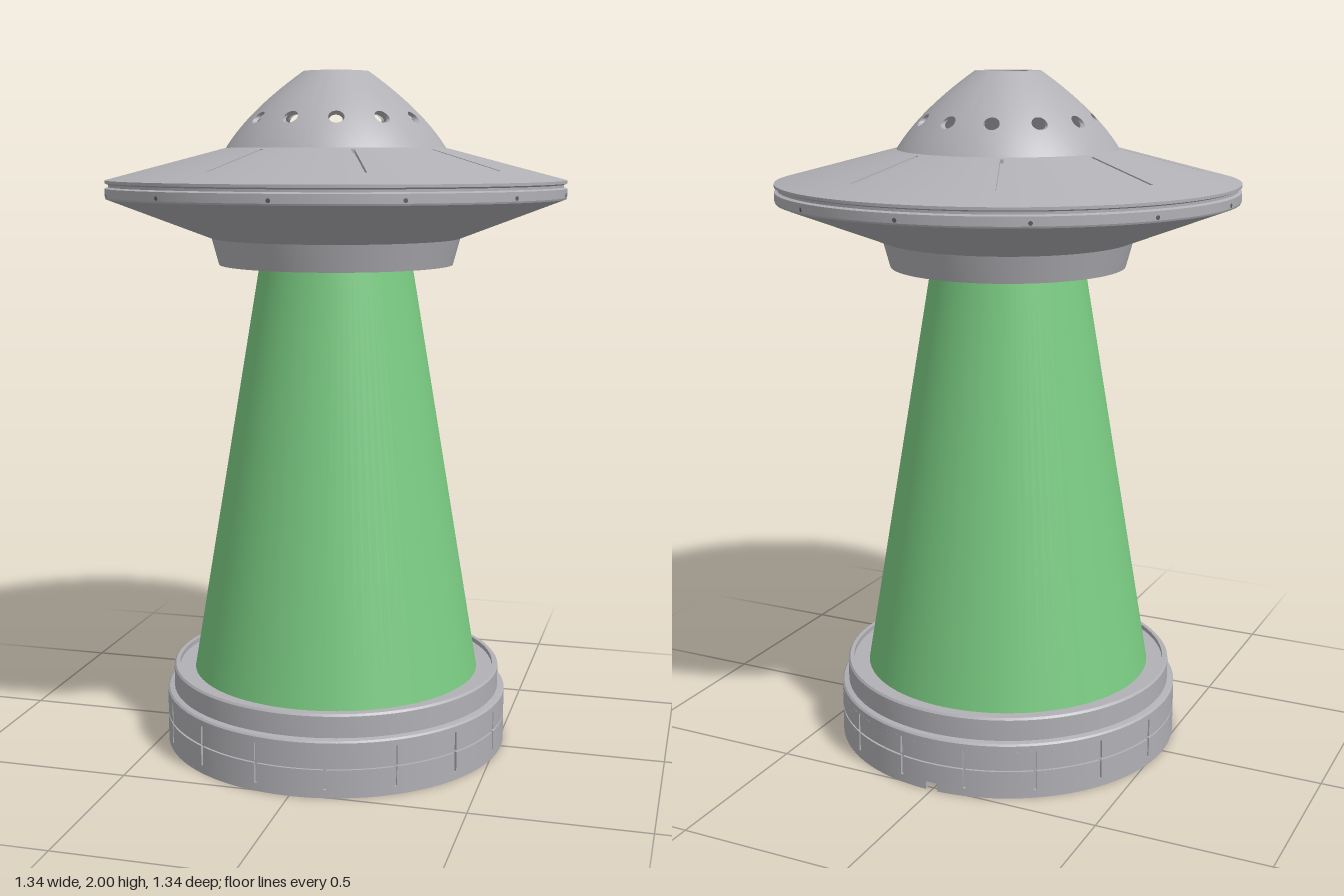
import * as THREE from 'three';
import { toCreasedNormals } from 'three/addons/utils/BufferGeometryUtils.js';

const TAU = Math.PI * 2;
const metal = new THREE.MeshStandardMaterial({ color: 0xb0b0b5, side: THREE.DoubleSide });
metal.name = 'grey metal';
const green = new THREE.MeshStandardMaterial({ color: 0x7acb82 });
green.name = 'beam green';
const dark = new THREE.MeshStandardMaterial({ color: 0x5c5c61 });
dark.name = 'dark metal';

function part(parent, name, geometry, material) {
  const mesh = new THREE.Mesh(geometry, material);
  mesh.name = name;
  parent.add(mesh);
  return mesh;
}

// Turned solid with crisp steps; points run from the bottom up
function turned(points, segments = 96) {
  const profile = points.map(([r, y]) => new THREE.Vector2(r, y));
  return toCreasedNormals(new THREE.LatheGeometry(profile, segments), 0.3);
}

// Flat outline raised from y = 0 to the given height
function slab(shape, height, curveSegments) {
  const geo = new THREE.ExtrudeGeometry(shape, { depth: height, bevelEnabled: false, curveSegments });
  return toCreasedNormals(geo.rotateX(-Math.PI / 2), 0.4);
}

// Surface of revolution in equal sectors, each pierced by one opening.
// profile(t) gives [r, y]; inset(p) moves a profile point to the opening's depth;
// opening(x, y) maps the sector's border (each -1..1) to the opening's edge (u, v).
function pierced({ sectors, perSide, profile, inset, opening, floor }) {
  const border = [];
  for (let side = 0; side < 4; side++) {
    for (let i = 0; i < perSide; i++) {
      const s = -1 + (2 * i) / perSide;
      border.push([[s, -1], [1, s], [-s, 1], [-1, -s]][side]);
    }
  }
  const steps = 8;
  const positions = [];
  for (let k = 0; k < sectors; k++) {
    const place = (u, v, deep) => {
      const p = profile(v);
      const [r, y] = deep ? inset(p) : p;
      const angle = ((k + u) / sectors) * TAU;
      return [r * Math.sin(angle), y, r * Math.cos(angle)];
    };
    const [, low] = opening(0, -1);
    const [, high] = opening(0, 1);
    const columns = border.map(([x, y]) => {
      const [u, v] = opening(x, y);
      const column = floor ? [place(0.5, (low + high) / 2, true)] : [];
      column.push(place(u, v, true));
      for (let j = 0; j <= steps; j++) {
        const f = j / steps;
        column.push(place(u + ((x + 1) / 2 - u) * f, v + ((y + 1) / 2 - v) * f, false));
      }
      return column;
    });
    columns.forEach((a, i) => {
      const b = columns[(i + 1) % columns.length];
      for (let j = 0; j < a.length - 1; j++) {
        positions.push(...a[j], ...a[j + 1], ...b[j + 1]);
        if (j > 0 || !floor) positions.push(...a[j], ...b[j + 1], ...b[j]);
      }
    });
  }
  const geo = new THREE.BufferGeometry();
  geo.setAttribute('position', new THREE.Float32BufferAttribute(positions, 3));
  return toCreasedNormals(geo, 0.4);
}

function makeBase() {
  const base = new THREE.Group();
  base.name = 'base';

  // Foot with a cable slot opening at the back
  const R = 0.515, slot = 0.018, a = Math.asin(slot / R);
  const foot = new THREE.Shape();
  foot.absarc(0, 0, R, Math.PI / 2 + a, Math.PI / 2 - a + TAU, false);
  foot.lineTo(slot, 0.38);
  foot.absarc(0, 0.38, slot, 0, Math.PI, true);
  part(base, 'foot', slab(foot, 0.024, 96), metal);

  // Core, stepped collar and raised lip
  part(base, 'baseCore', turned([
    [0, 0.024], [0.508, 0.024], [0.508, 0.143], [R, 0.143], [R, 0.16], [0.51, 0.165],
    [0.495, 0.168], [0.495, 0.23], [0.49, 0.236], [0.478, 0.236], [0.478, 0.222], [0.4, 0.222],
  ]), metal);

  // Two rows of curved panels separated by narrow seams
  const half = Math.PI / 16 - 0.004 / R;
  const arc = new THREE.Shape();
  arc.absarc(0, 0, R, -half, half, false);
  arc.absarc(0, 0, 0.505, half, -half, true);
  for (const [y, height] of [[0.024, 0.058], [0.088, 0.055]]) {
    const geo = slab(arc, height, 8);
    for (let k = 0; k < 16; k++) {
      const panel = part(base, 'basePanel', geo, metal);
      panel.position.y = y;
      panel.rotation.y = (k / 16) * TAU;
    }
  }
  return base;
}

function makeSaucer() {
  const saucer = new THREE.Group();
  saucer.name = 'saucer';

  // Collar, underside and grooved rim
  part(saucer, 'hull', turned([
    [0, 1.445], [0.344, 1.445], [0.365, 1.522], [0.668, 1.637], [0.67, 1.642], [0.67, 1.667],
    [0.66, 1.671], [0.66, 1.678], [0.67, 1.682], [0.67, 1.69],
  ]), metal);

  // Upper disc with eight radial grooves
  part(saucer, 'upperDisc', pierced({
    sectors: 8, perSide: 12, floor: true,
    profile: (t) => [0.67 - 0.35 * t, 1.69 + 0.092 * t],
    inset: ([r, y]) => [r, y - 0.01],
    opening: (x, y) => {
      const v = 0.635 + 0.32 * y;
      return [0.5 + (x * 0.005) / ((0.67 - 0.35 * v) * (TAU / 8)), v];
    },
  }), metal);

  // Hollow dome with twelve round windows
  const curve = new THREE.QuadraticBezierCurve(
    new THREE.Vector2(0.32, 1.782), new THREE.Vector2(0.2525, 1.889), new THREE.Vector2(0.095, 2));
  part(saucer, 'dome', pierced({
    sectors: 12, perSide: 8, floor: false,
    profile: (t) => curve.getPoint(t).toArray(),
    inset: ([r, y]) => [r - 0.015, y],
    opening: (x, y) => {
      const angle = Math.atan2(y, x);
      return [0.5 + 0.172 * Math.cos(angle), 0.39 + 0.075 * Math.sin(angle)];
    },
  }), metal);
  part(saucer, 'domeFloor', turned([[0.32, 1.782], [0, 1.782]]), metal);

  // Stepped recess and knob at the crown
  part(saucer, 'crown', turned([
    [0, 1.955], [0.03, 1.955], [0.03, 1.98], [0.06, 1.98], [0.06, 2], [0.095, 2],
  ].reverse(), 48), metal);
  part(saucer, 'crownKnob', new THREE.SphereGeometry(0.02, 20, 12), metal).position.y = 1.97;

  // Small pinholes around the rim
  const pin = new THREE.CylinderGeometry(0.006, 0.006, 0.006, 12).rotateX(Math.PI / 2);
  for (let k = 0; k < 12; k++) {
    const angle = (k / 12) * TAU;
    const hole = part(saucer, 'rimPinhole', pin, dark);
    hole.position.set(0.668 * Math.sin(angle), 1.65, 0.668 * Math.cos(angle));
    hole.rotation.y = angle;
  }
  return saucer;
}

export function createModel() {
  const model = new THREE.Group();
  model.name = 'saucerLamp';
  model.add(makeBase());

  // Tapered light beam
  const beam = part(model, 'beam', new THREE.CylinderGeometry(0.225, 0.43, 1.223, 96, 1), green);
  beam.position.y = 0.222 + 1.223 / 2;

  model.add(makeSaucer());
  return model;
}
